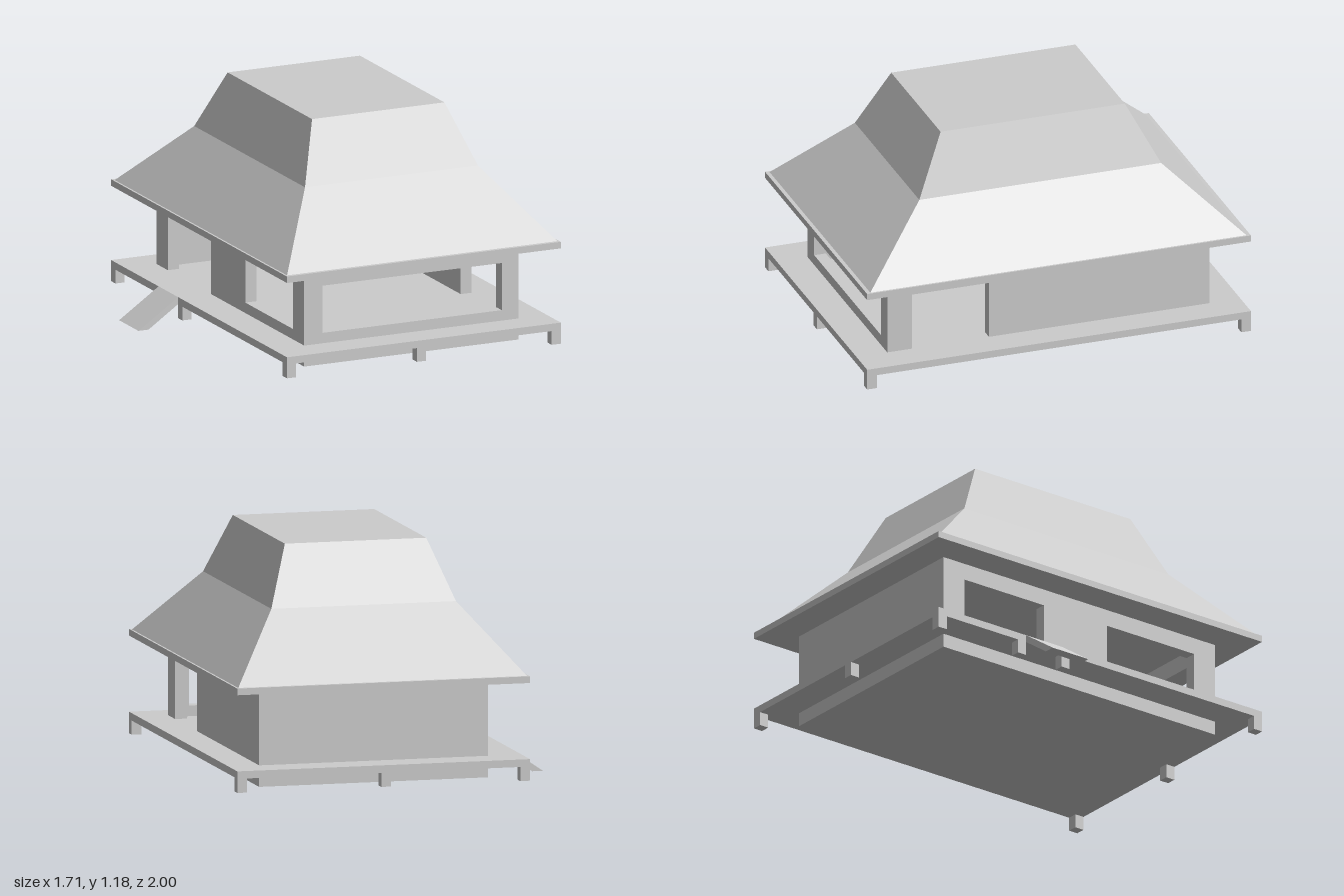
import * as THREE from 'three';

const material = new THREE.MeshStandardMaterial({ color: 0xcccccc, flatShading: true });
const CX = 0.105;                 // centre line of deck and roof
const DECK_TOP = 0.147, EAVE = 0.525, WALL = 0.06;
const X0 = -0.47, X1 = 0.695, Z = 0.84; // wall footprint

export function createModel() {
  const model = new THREE.Group();

  const add = (name, geometry) => {
    const mesh = new THREE.Mesh(geometry, material);
    mesh.name = name;
    model.add(mesh);
    return mesh;
  };

  // box given by its limits on each axis
  const box = (name, x0, x1, y0, y1, z0, z1) =>
    add(name, new THREE.BoxGeometry(x1 - x0, y1 - y0, z1 - z0)
      .translate((x0 + x1) / 2, (y0 + y1) / 2, (z0 + z1) / 2));

  const points = (list) => list.map(([x, y]) => new THREE.Vector2(x, y));

  // upright wall with door notches (to the floor) and window holes
  const wall = (a, b, doors, windows) => {
    const top = 0.44, sill = 0.2;
    const outline = [[a, DECK_TOP]];
    for (const [l, r] of doors) outline.push([l, DECK_TOP], [l, top], [r, top], [r, DECK_TOP]);
    outline.push([b, DECK_TOP], [b, EAVE], [a, EAVE]);
    const shape = new THREE.Shape(points(outline));
    for (const [l, r] of windows) {
      shape.holes.push(new THREE.Path(points([[l, sill], [l, top], [r, top], [r, sill]])));
    }
    return new THREE.ExtrudeGeometry(shape, { depth: WALL, bevelEnabled: false });
  };

  // base, deck and posts
  box('foundation', X0, X1, 0.04, 0.11, -Z, Z);
  box('deck', -0.64, 0.85, 0.11, DECK_TOP, -1, 1);
  const post = (x, z) => box('deckPost', x - 0.025, x + 0.025, 0.04, 0.11, z - 0.025, z + 0.025);
  for (const z of [-0.975, 0.975]) {
    for (const x of [-0.615, 0.092, 0.825]) post(x, z);
  }
  for (const z of [-0.485, -0.215]) post(-0.615, z);

  // ramp down from the deck
  const rampShape = new THREE.Shape(points([[-0.64, DECK_TOP], [-0.855, 0], [-0.8, 0], [-0.64, 0.11]]));
  add('ramp', new THREE.ExtrudeGeometry(rampShape, { depth: 0.22, bevelEnabled: false })
    .translate(0, 0, -0.46));

  // side walls run full length, front and back walls fit between them
  add('leftWall', wall(-Z, Z, [[0.31, 0.71]], []).rotateY(-Math.PI / 2).translate(X1, 0, 0));
  add('rightWall', wall(-Z, Z, [[-0.71, -0.22]], [[0.17, 0.71]])
    .rotateY(-Math.PI / 2).translate(X0 + WALL, 0, 0));
  add('frontWall', wall(X0 + WALL, X1 - WALL, [], [[-0.37, 0.605]]).translate(0, 0, Z - WALL));
  add('backWall', wall(X0 + WALL, X1 - WALL, [], []).translate(0, 0, -Z));

  // eave slab and two-pitch roof
  box('eaves', -0.64, 0.85, EAVE, 0.558, -1, 1);
  const levels = [ // height, half width, half depth
    [0.558, 0.735, 0.98],
    [0.888, 0.47, 0.63],
    [1.185, 0.36, 0.48],
  ];
  const roof = new THREE.BoxGeometry(2, 2, 2, 1, 2, 1);
  const p = roof.attributes.position;
  for (let i = 0; i < p.count; i++) {
    const [y, w, d] = levels[Math.round(p.getY(i)) + 1];
    p.setXYZ(i, CX + p.getX(i) * w, y, p.getZ(i) * d);
  }
  const flatRoof = roof.toNonIndexed();
  flatRoof.computeVertexNormals();
  add('roof', flatRoof);

  return model;
}
